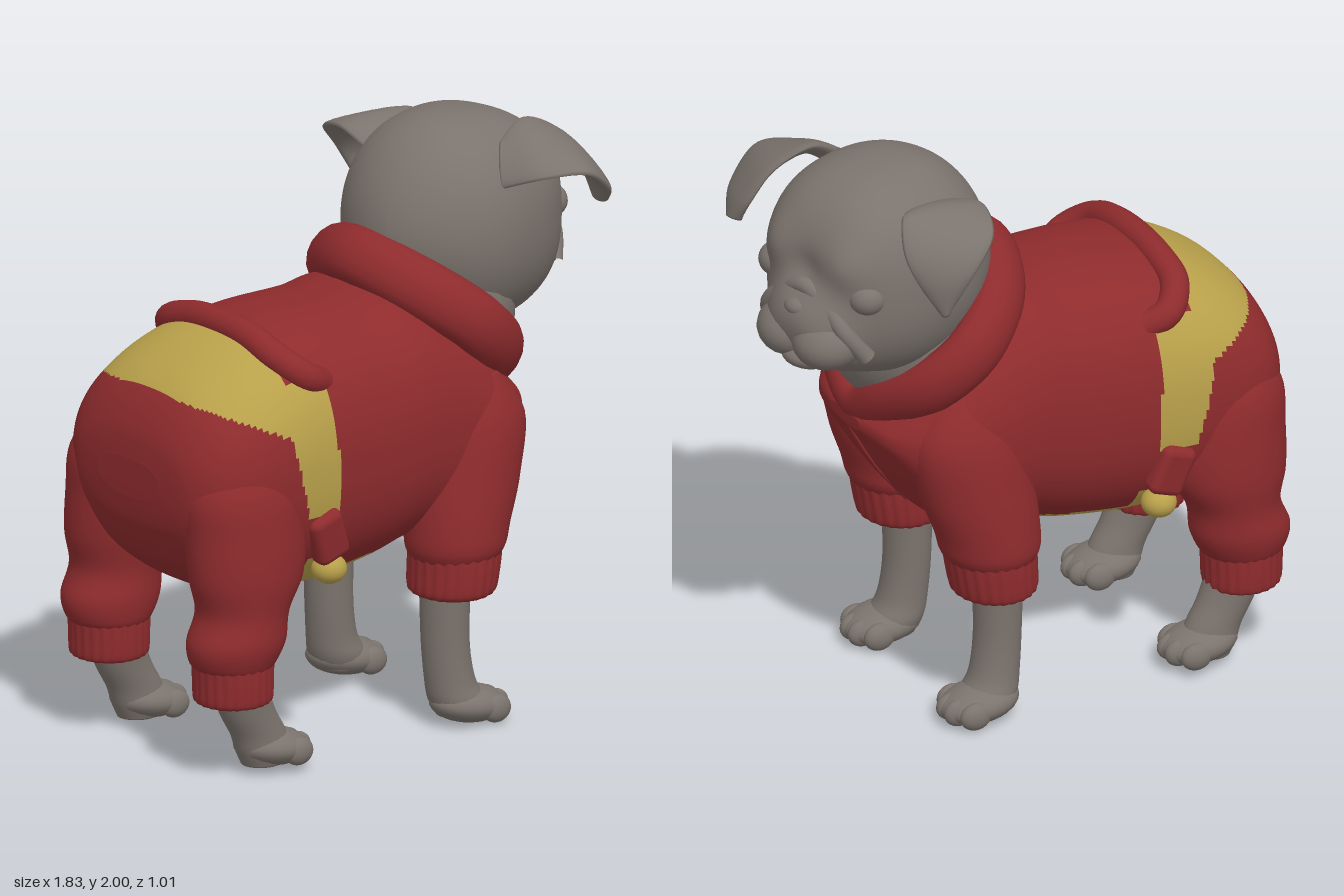
import * as THREE from 'three';
import { RoundedBoxGeometry } from 'three/addons/geometries/RoundedBoxGeometry.js';

const V = (x, y, z) => new THREE.Vector3(x, y, z);
const red = new THREE.MeshStandardMaterial({ color: 0x8e2b2d });
const yellow = new THREE.MeshStandardMaterial({ color: 0xb8a04a });
const grey = new THREE.MeshStandardMaterial({ color: 0x7b736d });
red.name = 'red cloth'; yellow.name = 'yellow cloth'; grey.name = 'grey fur';

// Catmull-Rom interpolation of rows of numbers
function smooth(rows, steps) {
  const out = [], last = rows.length - 1;
  for (let i = 0; i < last; i++) {
    const [a, b, c, d] = [i - 1, i, i + 1, i + 2].map(k => rows[Math.min(last, Math.max(0, k))]);
    for (let s = 0; s < steps; s++) {
      const t = s / steps;
      out.push(b.map((v, k) => v + 0.5 * t * (c[k] - a[k] + t * (2 * a[k] - 5 * v + 4 * c[k] - d[k]
        + t * (3 * (v - c[k]) + d[k] - a[k])))));
    }
  }
  out.push(rows[last]);
  return out;
}

// Closed skin over rings; pick(centre) gives the material slot of each face
function loft(name, rings, materials, pick = () => 0) {
  const n = rings[0].length;
  const cap = r => { const c = V(0, 0, 0); r.forEach(p => c.add(p)); c.divideScalar(n); return r.map(() => c); };
  const all = [cap(rings[0]), ...rings, cap(rings[rings.length - 1])];
  const pts = all.flat(), faces = materials.map(() => []);
  for (let i = 0; i < all.length - 1; i++) for (let j = 0; j < n; j++) {
    const a = i * n + j, b = i * n + (j + 1) % n, c = a + n, d = b + n;
    const mid = V(0, 0, 0).add(pts[a]).add(pts[b]).add(pts[c]).add(pts[d]).multiplyScalar(0.25);
    faces[pick(mid)].push(a, c, b, b, c, d);
  }
  const g = new THREE.BufferGeometry().setFromPoints(pts);
  g.setIndex(faces.flat());
  let start = 0;
  faces.forEach((f, k) => { g.addGroup(start, f.length, k); start += f.length; });
  g.computeVertexNormals();
  const m = new THREE.Mesh(g, materials.length > 1 ? materials : materials[0]);
  m.name = name;
  return m;
}

// Upright limb from rows [y, centre x, radius x, centre z, radius z], top to bottom
function limb(name, rows, mat, side, ribs = 0) {
  const n = ribs ? 96 : 36;
  const rings = smooth(rows, 6).map(([y, cx, rx, cz, rz]) => Array.from({ length: n }, (_, j) => {
    const t = j / n * Math.PI * 2, k = 1 + (ribs ? 0.02 * Math.cos(t * ribs) : 0);
    return V(cx + rx * k * Math.cos(t), y, side * cz - rz * k * Math.sin(t));
  }));
  return loft(name, rings, [mat]);
}

function blob(name, mat, p, r, tilt = 0) {
  const m = new THREE.Mesh(new THREE.SphereGeometry(1, 24, 16), mat);
  m.position.set(...p); m.scale.set(...r); m.rotation.z = tilt; m.name = name;
  return m;
}

function tube(name, mat, points, r, closed = false) {
  const curve = new THREE.CatmullRomCurve3(points.map(p => V(...p)), closed);
  const m = new THREE.Mesh(new THREE.TubeGeometry(curve, 64, r, 16, closed), mat);
  m.name = name;
  return m;
}

// Torso: red jacket and trousers with a yellow shirt between them and on the belly
function torso() {
  const rows = [ // x, bottom, top, half width
    [-0.91, 0.93, 1.06, 0.16], [-0.89, 0.82, 1.17, 0.30], [-0.82, 0.69, 1.29, 0.40], [-0.70, 0.60, 1.38, 0.45],
    [-0.55, 0.56, 1.445, 0.46], [-0.35, 0.54, 1.48, 0.445], [-0.1, 0.57, 1.485, 0.435], [0.05, 0.61, 1.5, 0.435],
    [0.2, 0.63, 1.44, 0.43], [0.35, 0.69, 1.33, 0.41], [0.46, 0.83, 1.2, 0.36], [0.55, 0.98, 1.11, 0.24], [0.585, 1.03, 1.08, 0.1]];
  const n = 144;
  const p = (v, e) => Math.sign(v) * Math.abs(v) ** e;
  const rings = smooth(rows, 16).map(([x, lo, hi, w]) => Array.from({ length: n }, (_, j) => {
    const t = j / n * Math.PI * 2;
    return V(x, (lo + hi) / 2 + (hi - lo) / 2 * p(Math.sin(t), 0.84), w * p(Math.cos(t), 0.84));
  }));
  return loft('torso', rings, [red, yellow], ({ x, y, z }) => {
    const belly = y < 0.655 + 0.1 * x && x > -0.52 && x < 0.25;
    const corner = x > -0.46 && x < -0.32 && y < 0.71;
    if (belly || corner) return Math.abs(z) < 0.025 ? 0 : 1;
    const trousers = x < -0.57 ? 1.17 - (x + 0.57) * 0.43 : 1.17 - (x + 0.57) * 4.3;
    const jacket = y > 1.33 ? -0.53 : -0.36 - (y - 0.88) * 0.05;
    return x > -0.82 && x < jacket && y > Math.max(trousers, 0.87) ? 1 : 0;
  });
}

// Folded ear from pairs of edge points, root to tip
function ear(name, rows) {
  const s = smooth(rows, 8), n = 20;
  const P = r => V(r[0], r[1], r[2]), Q = r => V(r[3], r[4], r[5]);
  const mid = r => P(r).add(Q(r)).multiplyScalar(0.5);
  const rings = s.map((r, i) => {
    const along = mid(s[Math.min(i + 1, s.length - 1)]).sub(mid(s[Math.max(i - 1, 0)]));
    const w = Q(r).sub(P(r)).multiplyScalar(0.5);
    const nrm = w.clone().cross(along).normalize().multiplyScalar(0.025);
    return Array.from({ length: n }, (_, j) => {
      const t = j / n * Math.PI * 2;
      return mid(r).addScaledVector(w, Math.cos(t)).addScaledVector(nrm, Math.sin(t));
    });
  });
  return loft(name, rings, [grey]);
}

// Head turned slightly to the side, the face pushed out of the skull by soft bumps
function head() {
  const bumps = [ // forward, up, |side|, reach, amount, falloff power
    [0.33, -0.17, 0, 0.19, 0.085, 4], // muzzle
    [0.37, 0.07, 0, 0.06, -0.02, 2], // stop
    [0.32, 0.12, 0.16, 0.08, 0.025, 2]]; // brows
  const g = new THREE.SphereGeometry(1, 96, 64), a = g.attributes.position;
  for (let i = 0; i < a.count; i++) {
    const q = V(0, 0, 0).fromBufferAttribute(a, i), e = 2.25 + 0.35 * q.x;
    const len = (Math.abs(q.x) ** e + Math.abs(q.y) ** e + Math.abs(q.z) ** e) ** (1 / e);
    q.divideScalar(len).multiply(V(0.37, 0.37, 0.345));
    let push = 0;
    for (const [u, v, w, reach, amount, power] of bumps)
      push += amount * Math.exp(-((Math.hypot(q.x - u, q.y - v, Math.abs(q.z) - w) / reach) ** power));
    a.setXYZ(i, q.x + push, q.y, q.z);
  }
  g.computeVertexNormals();
  const skull = new THREE.Mesh(g, grey);
  skull.name = 'skull';
  const h = new THREE.Group();
  h.name = 'head';
  h.position.set(0.45, 1.63, -0.015);
  h.rotation.y = 0.3;
  h.add(skull, blob('nose', grey, [0.395, -0.045, 0], [0.05, 0.036, 0.055]),
    blob('chin', grey, [0.34, -0.235, 0], [0.1, 0.05, 0.1]),
    tube('noseFold', grey, [[0.3, -0.2, -0.22], [0.36, -0.1, -0.17], [0.365, -0.02, -0.09], [0.372, 0.02, 0],
      [0.365, -0.02, 0.09], [0.36, -0.1, 0.17], [0.3, -0.2, 0.22]], 0.03));
  for (const s of [-1, 1]) h.add(
    blob('jowl', grey, [0.335, -0.16, s * 0.08], [0.13, 0.1, 0.125], -0.2),
    blob('eye', grey, [0.285, 0.015, s * 0.205], [0.066, 0.06, 0.066]));
  return h;
}

// Collar: a roll in a slanting plane, thickened across that plane
function collar() {
  const half = [[-0.22, 0, 0.24], [-0.03, 0.005, 0.345], [0.15, 0, 0.3], [0.28, -0.02, 0.15]];
  const other = half.map(([x, y, z]) => [x, y, -z]).reverse();
  const m = tube('collar', red, [[-0.33, 0, 0], ...half, [0.345, -0.06, 0], ...other], 0.075, true);
  m.position.set(0.3, 1.36, 0);
  m.rotation.z = -0.72;
  m.scale.y = 1.35;
  return m;
}

function paw(name, x, y, z, len) {
  const g = new THREE.Group();
  g.name = name;
  g.add(blob('pad', grey, [x, y, z], [len, 0.064, 0.11], -0.12));
  for (let i = 0; i < 4; i++) {
    const k = i - 1.5;
    g.add(blob('toe', grey, [x + len * 0.66 - 0.016 * k * k, y - 0.012, z + k * 0.054], [0.056, 0.048, 0.034]));
  }
  return g;
}

export function createModel() {
  const dog = new THREE.Group();
  dog.name = 'dog';
  dog.add(torso(), head(), collar(), blob('neck', grey, [0.37, 1.38, 0], [0.25, 0.3, 0.31], 0.3));

  // Rolled hem on the back of the jacket, and the zip on its chest
  const hem = [[-0.36, 1.3, 0.33], [-0.44, 1.34, 0.35], [-0.505, 1.4, 0.28], [-0.515, 1.445, 0.13]];
  dog.add(tube('jacketHem', red, [...hem, ...hem.map(([x, y, z]) => [x, y, -z]).reverse()], 0.05));
  dog.add(tube('zip', red, [[0.575, 1.03, 0], [0.55, 0.98, 0], [0.46, 0.83, 0], [0.35, 0.69, 0]], 0.008));

  for (const s of [-1, 1]) {
    // Front leg
    dog.add(limb('sleeve', [[1.2, 0.31, 0.08, 0.3, 0.07], [1.05, 0.3, 0.19, 0.305, 0.14], [0.85, 0.26, 0.2, 0.31, 0.165],
      [0.7, 0.225, 0.18, 0.32, 0.168], [0.63, 0.215, 0.17, 0.32, 0.168], [0.59, 0.21, 0.15, 0.32, 0.15]], red, s));
    dog.add(limb('sleeveCuff', [[0.62, 0.215, 0.155, 0.32, 0.155], [0.55, 0.208, 0.15, 0.32, 0.157],
      [0.48, 0.2, 0.142, 0.32, 0.152], [0.46, 0.2, 0.12, 0.32, 0.13]], red, s, 24));
    dog.add(limb('frontLeg', [[0.52, 0.18, 0.085, 0.31, 0.09], [0.3, 0.18, 0.08, 0.31, 0.083], [0.16, 0.195, 0.085, 0.315, 0.085],
      [0.09, 0.22, 0.098, 0.32, 0.095], [0.035, 0.235, 0.085, 0.325, 0.085]], grey, s));
    dog.add(paw('frontPaw', 0.26, 0.065, s * 0.33, 0.14));
    // Hind leg
    dog.add(limb('trouserLeg', [[1.15, -0.68, 0.1, 0.3, 0.08], [1.0, -0.68, 0.2, 0.3, 0.165], [0.85, -0.67, 0.215, 0.315, 0.175],
      [0.7, -0.675, 0.205, 0.33, 0.168], [0.58, -0.695, 0.16, 0.335, 0.152], [0.48, -0.72, 0.172, 0.335, 0.155],
      [0.41, -0.73, 0.15, 0.33, 0.14], [0.38, -0.73, 0.12, 0.33, 0.12]], red, s));
    dog.add(limb('trouserCuff', [[0.42, -0.73, 0.138, 0.33, 0.132], [0.34, -0.73, 0.134, 0.33, 0.134],
      [0.28, -0.73, 0.13, 0.33, 0.13], [0.265, -0.73, 0.11, 0.33, 0.11]], red, s, 24));
    dog.add(limb('hindLeg', [[0.32, -0.71, 0.1, 0.33, 0.09], [0.22, -0.67, 0.1, 0.33, 0.082], [0.14, -0.625, 0.1, 0.33, 0.08],
      [0.08, -0.605, 0.098, 0.33, 0.082], [0.03, -0.61, 0.07, 0.33, 0.065]], grey, s));
    dog.add(paw('hindPaw', -0.57, 0.082, s * 0.33, 0.135));
    // Pocket flap and shirt corner on the flank
    const flap = new THREE.Mesh(new RoundedBoxGeometry(0.13, 0.18, 0.08, 3, 0.03), red);
    flap.name = 'pocketFlap';
    flap.position.set(-0.41, 0.8, s * 0.425);
    flap.rotation.set(s * 0.12, 0, 0.35);
    dog.add(flap, blob('shirtCorner', yellow, [-0.38, 0.675, s * 0.4], [0.06, 0.052, 0.06]));
  }

  // Ears
  dog.add(ear('leftEar', [[0.50, 1.93, 0.2, 0.43, 1.8, 0.29], [0.62, 1.985, 0.17, 0.51, 1.85, 0.42],
    [0.75, 1.92, 0.19, 0.64, 1.86, 0.49], [0.82, 1.81, 0.22, 0.77, 1.77, 0.44], [0.84, 1.72, 0.27, 0.82, 1.7, 0.36]]));
  dog.add(ear('rightEar', [[0.46, 1.88, -0.23, 0.25, 1.85, -0.19], [0.54, 1.91, -0.31, 0.24, 1.9, -0.33],
    [0.57, 1.82, -0.38, 0.28, 1.86, -0.47], [0.54, 1.72, -0.42, 0.37, 1.76, -0.51], [0.47, 1.6, -0.45, 0.44, 1.61, -0.46]]));
  return dog;
}
